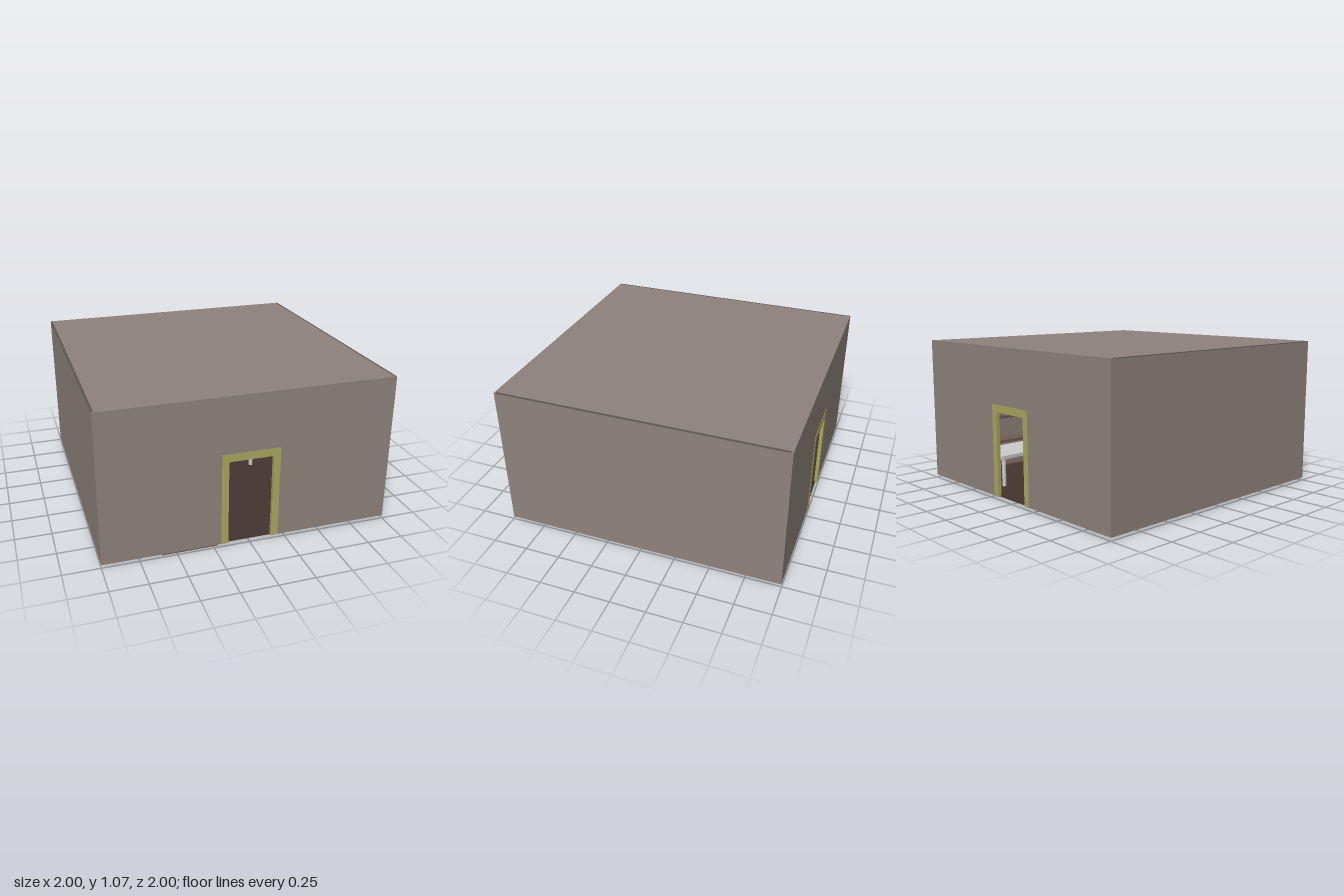
import * as THREE from 'three';

const mat = (color) => new THREE.MeshStandardMaterial({ color, roughness: 0.9 });
const WALL = mat(0x8f837b), TRIM = mat(0x5f5650), FLOOR = mat(0x43352f);
const FRAME = mat(0xaaa65f), WOOD = mat(0x705a50), GREY = mat(0xcccccc);

const BASE = 0.02, TOP = 1.065, T = 0.015;

// Box given by its minimum and maximum corners
function box(parent, name, material, [x0, y0, z0], [x1, y1, z1]) {
  const mesh = new THREE.Mesh(new THREE.BoxGeometry(x1 - x0, y1 - y0, z1 - z0), material);
  mesh.position.set((x0 + x1) / 2, (y0 + y1) / 2, (z0 + z1) / 2);
  mesh.name = name;
  parent.add(mesh);
  return mesh;
}

// Upright panel with a doorway cut up from its lower edge
function arch(halfW, top, doorHalf, doorTop, depth) {
  const s = new THREE.Shape();
  s.moveTo(-halfW, BASE);
  s.lineTo(-doorHalf, BASE);
  s.lineTo(-doorHalf, doorTop);
  s.lineTo(doorHalf, doorTop);
  s.lineTo(doorHalf, BASE);
  s.lineTo(halfW, BASE);
  s.lineTo(halfW, top);
  s.lineTo(-halfW, top);
  return new THREE.ExtrudeGeometry(s, { depth, bevelEnabled: false });
}

// Wall with its doorway and painted door frame, facing outwards along +z
function doorWall(name) {
  const g = new THREE.Group();
  g.name = name;
  const wall = new THREE.Mesh(arch(1, TOP, 0.17, 0.64, T), WALL);
  wall.name = 'wallPanel';
  wall.position.z = 0.997 - T;
  const frame = new THREE.Mesh(arch(0.2, 0.67, 0.152, 0.617, 0.025), FRAME);
  frame.name = 'doorFrame';
  frame.position.z = 0.975;
  g.add(wall, frame);
  return g;
}

// Narrow table standing on four legs that just pass through the floor
function table() {
  const g = new THREE.Group();
  g.name = 'table';
  box(g, 'tableTop', GREY, [-0.16, 0.235, -0.45], [0.16, 0.26, 0.45]);
  for (const x of [-0.122, 0.122]) for (const z of [-0.41, 0.41]) {
    const leg = new THREE.Mesh(new THREE.CylinderGeometry(0.015, 0.015, 0.222, 12), GREY);
    leg.name = 'tableLeg';
    leg.position.set(x, 0.125, z);
    g.add(leg);
  }
  g.position.set(0.487, 0, -0.42);
  g.rotation.y = 0.06;
  return g;
}

// Open shelf unit along the left wall
function shelves() {
  const g = new THREE.Group();
  g.name = 'shelfUnit';
  const z = 0.74, h = 0.62;
  for (let i = 0; i < 4; i++) {
    const y = 0.017 + i * 0.2;
    box(g, 'shelf', WOOD, [0.86, y, -z], [0.975, y + 0.02, z]);
  }
  for (const s of [-z, 0, z]) box(g, 'shelfSide', WOOD, [0.86, 0.018, s - 0.01], [0.975, h, s + 0.01]);
  return g;
}

export function createModel() {
  const room = new THREE.Group();
  room.name = 'room';

  // Shell
  box(room, 'floor', FLOOR, [-0.985, BASE, -0.985], [0.985, BASE + 0.008, 0.985]);
  box(room, 'roof', WALL, [-0.985, TOP - T, -0.99], [0.985, TOP, 0.99]);
  for (const s of [-1, 1]) {
    const x = s * (1 - T / 2);
    box(room, 'sideWall', WALL, [x - T / 2, BASE, -0.985], [x + T / 2, TOP - 0.004, 0.985]);
    box(room, 'wallCap', TRIM, [x - T / 2, TOP - 0.004, -0.985], [x + T / 2, TOP - 0.001, 0.985]);
  }
  const back = doorWall('backWall');
  back.rotation.y = Math.PI;
  room.add(doorWall('frontWall'), back);

  // Furnishings
  room.add(table(), shelves());
  box(room, 'doorsideBench', WOOD, [-0.6, 0, 0.85], [-0.22, 0.14, 0.98]);
  box(room, 'wallShelf', WOOD, [-0.985, 0.88, -0.6], [-0.85, 0.9, 0.2]);
  return room;
}
